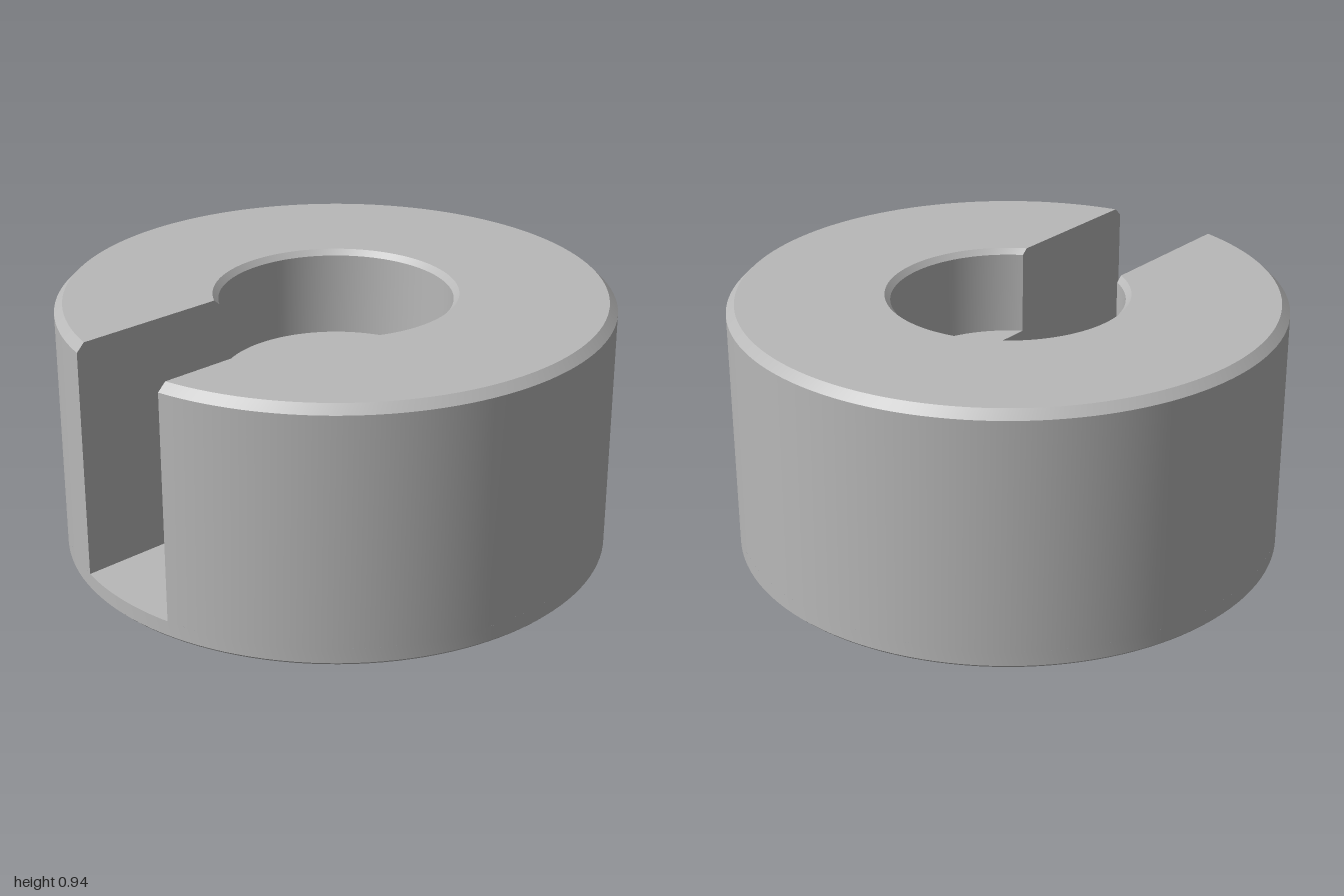
import * as THREE from 'three';
import { toCreasedNormals } from 'three/addons/utils/BufferGeometryUtils.js';

const SEGMENTS = 128;
const SLOT = 0.22;          // half width of the slot
const FLOOR = 0.065;        // height of the slot floor
const BORE = 0.42;
const RECESS = { radius: 0.133, depth: 0.03, offset: 0.55 };

// Ring section (radius, height): outer wall, top, bore, ledge, undercut
const PROFILE = [
  [1, FLOOR], [1, 0.91], [0.97, 0.94], [0.44, 0.94], [BORE, 0.92],
  [BORE, 0.61], [0.3, 0.61], [BORE, 0.53], [BORE, FLOOR],
];

const slotAngle = (r) => Math.asin(SLOT / r);

// Sweeps the section around y, each ring ending at the parallel slot walls
function slottedRing() {
  const positions = [];
  const point = (i, [r, y]) => {
    const a = slotAngle(r);
    const t = a + (i / SEGMENTS) * (2 * Math.PI - 2 * a);
    return [r * Math.sin(t), y, r * Math.cos(t)];
  };
  for (let j = 0; j < PROFILE.length - 1; j++) {
    for (let i = 0; i < SEGMENTS; i++) {
      const a = point(i, PROFILE[j]);
      const b = point(i + 1, PROFILE[j]);
      const c = point(i + 1, PROFILE[j + 1]);
      const d = point(i, PROFILE[j + 1]);
      positions.push(...a, ...b, ...c, ...a, ...c, ...d);
    }
  }
  const geometry = new THREE.BufferGeometry();
  geometry.setAttribute('position', new THREE.Float32BufferAttribute(positions, 3));
  return toCreasedNormals(geometry, 0.4);
}

// Flat wall of the slot, side = 1 for +x and -1 for -x
function slotWall(side) {
  const points = PROFILE.map(([r, y]) =>
    new THREE.Vector2(side * Math.sqrt(r * r - SLOT * SLOT), y));
  return new THREE.ShapeGeometry(new THREE.Shape(points))
    .rotateY(-side * Math.PI / 2)
    .translate(side * SLOT, 0, 0);
}

// Keyhole floor of the bore and slot
function keyholeFloor() {
  const down = 1.5 * Math.PI;
  const a = slotAngle(BORE);
  const b = slotAngle(1);
  const shape = new THREE.Shape();
  shape.absarc(0, 0, BORE, a - Math.PI / 2, down - a, false);
  shape.absarc(0, 0, 1, down - b, down + b, false);
  return new THREE.ShapeGeometry(shape, 64).rotateX(-Math.PI / 2).translate(0, FLOOR, 0);
}

function lathe(points, segments) {
  const geometry = new THREE.LatheGeometry(points.map(([r, y]) => new THREE.Vector2(r, y)), segments);
  return toCreasedNormals(geometry, 0.4);
}

export function createModel() {
  const model = new THREE.Group();
  model.name = 'slottedHolder';
  const grey = new THREE.MeshStandardMaterial({ color: 0xb8b8b8 });
  grey.name = 'grey';

  const add = (name, geometry) => {
    const mesh = new THREE.Mesh(geometry, grey);
    mesh.name = name;
    model.add(mesh);
    return mesh;
  };

  add('slottedBody', slottedRing());
  add('leftSlotWall', slotWall(1));
  add('rightSlotWall', slotWall(-1));
  add('keyholeFloor', keyholeFloor());
  add('baseRim', lathe([[0.99, 0], [1, 0.01], [1, FLOOR]], SEGMENTS));

  // Underside with four round recesses
  const underside = new THREE.Shape();
  underside.absarc(0, 0, 0.99, 0, Math.PI * 2, false);
  for (const sx of [-1, 1]) {
    for (const sz of [-1, 1]) {
      const x = sx * RECESS.offset;
      const z = sz * RECESS.offset;
      const hole = new THREE.Path();
      hole.absarc(x, z, RECESS.radius, 0, Math.PI * 2, true);
      underside.holes.push(hole);
      const { radius, depth } = RECESS;
      add('undersideRecess', lathe([[0, depth], [radius, depth], [radius, 0]], 48)).position.set(x, 0, z);
    }
  }
  add('underside', new THREE.ShapeGeometry(underside, 64).rotateX(Math.PI / 2));

  return model;
}
